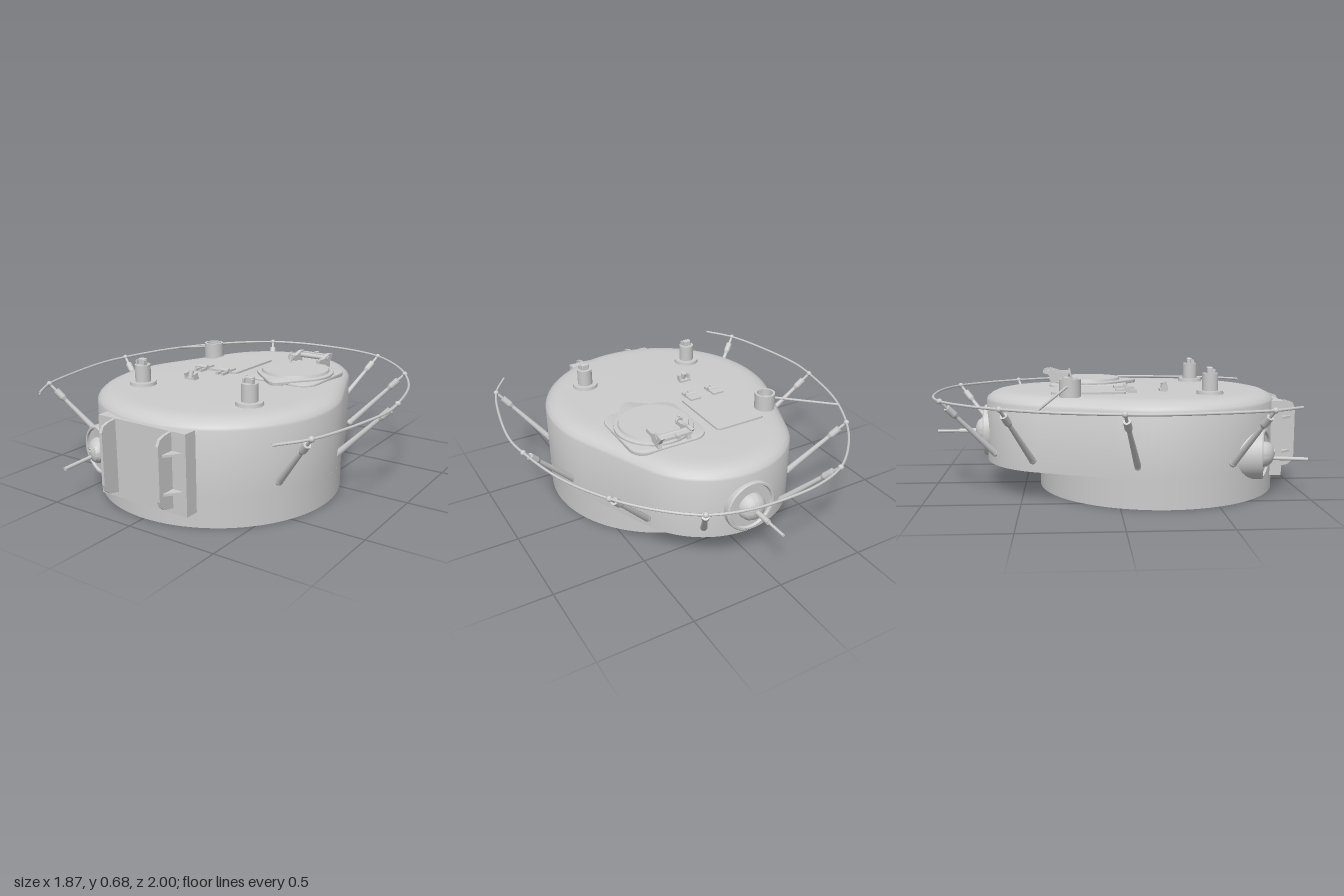
import * as THREE from 'three';
import { toCreasedNormals } from 'three/addons/utils/BufferGeometryUtils.js';
import { RoundedBoxGeometry } from 'three/addons/geometries/RoundedBoxGeometry.js';

const mat = new THREE.MeshStandardMaterial({ color: 0xcccccc, side: THREE.DoubleSide });
const V = (x, y, z) => new THREE.Vector3(x, y, z);

function add(parent, name, geo, x = 0, y = 0, z = 0) {
  const m = new THREE.Mesh(geo, mat);
  m.name = name;
  m.position.set(x, y, z);
  parent.add(m);
  return m;
}
const box = (p, name, w, h, d, x, y, z) => add(p, name, new THREE.BoxGeometry(w, h, d), x, y, z);
// upright cylinder standing on y0
const post = (p, name, r, y0, h, x, z, r2 = r) =>
  add(p, name, new THREE.CylinderGeometry(r2, r, h, 32), x, y0 + h / 2, z);

// round bar between two points
function rod(p, name, a, b, r1, r2 = r1) {
  const dir = b.clone().sub(a);
  const m = add(p, name, new THREE.CylinderGeometry(r2, r1, dir.length(), 12));
  m.position.copy(a).lerp(b, 0.5);
  m.quaternion.setFromUnitVectors(V(0, 1, 0), dir.normalize());
  return m;
}

// flat plate from a plan outline given in x, -z
function slab(p, name, shape, y, h, bevel = 0) {
  const g = new THREE.ExtrudeGeometry(shape, { depth: h - bevel, curveSegments: 24,
    bevelEnabled: bevel > 0, bevelSize: bevel, bevelThickness: bevel, bevelOffset: -bevel, bevelSegments: 2 });
  g.rotateX(-Math.PI / 2);
  return add(p, name, toCreasedNormals(g, 0.6), 0, y, 0);
}

function roundedRect(x0, z0, x1, z1, r) {
  const s = new THREE.Shape();
  s.absarc(x1 - r, -z1 + r, r, -Math.PI / 2, 0);
  s.absarc(x1 - r, -z0 - r, r, 0, Math.PI / 2);
  s.absarc(x0 + r, -z0 - r, r, Math.PI / 2, Math.PI);
  s.absarc(x0 + r, -z1 + r, r, Math.PI, Math.PI * 1.5);
  return s;
}

// egg outline: big front circle and smaller rear circle joined by tangents
function eggOutline(inset, n = 48) {
  const R = 0.655, r = 0.47, c = 0.24, a = Math.asin((R - r) / (2 * c));
  const pts = [];
  const arc = (rad, zc, t0, t1) => {
    for (let i = 0; i <= n; i++) {
      const t = t0 + (t1 - t0) * i / n;
      pts.push([rad * Math.sin(t), zc + rad * Math.cos(t)]);
    }
  };
  arc(R - inset, c, -Math.PI / 2 - a, Math.PI / 2 + a);
  arc(r - inset, -c, Math.PI / 2 + a, Math.PI * 1.5 - a);
  return pts;
}

// shell lofted through [height, inset] levels, closed at both ends
function shellGeometry(levels) {
  const pos = [], idx = [];
  let n = 0;
  for (const [y, inset] of levels) {
    const ring = eggOutline(inset);
    n = ring.length;
    for (const [x, z] of ring) pos.push(x, y, z);
  }
  const L = levels.length, lo = n * L, hi = lo + 1;
  pos.push(0, levels[0][0], 0.1, 0, levels[L - 1][0], 0.1);
  for (let i = 0; i < n; i++) {
    const j = (i + 1) % n;
    for (let k = 0; k < L - 1; k++) {
      const a = k * n + i, b = k * n + j;
      idx.push(a, b, b + n, a, b + n, a + n);
    }
    idx.push(lo, j, i, hi, (L - 1) * n + i, (L - 1) * n + j);
  }
  const g = new THREE.BufferGeometry();
  g.setAttribute('position', new THREE.Float32BufferAttribute(pos, 3));
  g.setIndex(idx);
  return toCreasedNormals(g, 0.7);
}

// dished round mount with a ball in the middle, facing +z
function ballMountGeometry(s, depth) {
  const prof = [[0.13, -depth], [0.13, -0.006], [0.124, 0], [0.115, 0], [0.11, -0.012], [0.068, -0.012],
    [0.064, 0.015], [0.05, 0.036], [0.028, 0.048], [0, 0.052]].map(([r, y]) => new THREE.Vector2(r * s, y));
  return new THREE.LatheGeometry(prof, 48).rotateX(Math.PI / 2);
}

export function createModel() {
  const root = new THREE.Group();
  root.name = 'turret';
  const group = (name) => {
    const g = new THREE.Group();
    g.name = name;
    root.add(g);
    return g;
  };

  // body
  add(root, 'turretRing', new THREE.CylinderGeometry(0.655, 0.655, 0.15, 96), 0, 0.075, 0.24);
  add(root, 'turretShell', shellGeometry(
    [[0.15, 0], [0.487, 0], [0.5, 0.006], [0.518, 0.026], [0.532, 0.055], [0.539, 0.09], [0.541, 0.14]]));

  // front gun plate with two bracket fins and gussets
  const front = group('gunPlate');
  box(front, 'plate', 0.54, 0.41, 0.12, 0.01, 0.285, 0.845);
  const fin = new THREE.Shape([[0.89, 0.105], [0.965, 0.12], [0.99, 0.14], [1.0, 0.17], [1.0, 0.44],
    [0.985, 0.47], [0.95, 0.482], [0.89, 0.49]].map(([z, y]) => new THREE.Vector2(-z, y)));
  for (const [x, side] of [[-0.157, -1], [0.19, 1]]) {
    const g = new THREE.ExtrudeGeometry(fin, { depth: 0.016, bevelEnabled: false });
    add(front, 'fin', g.rotateY(Math.PI / 2), x - 0.008, 0, 0);
    for (const y of [0.2, 0.39]) {
      const tri = new THREE.Shape([[0, -0.9], [side * 0.075, -0.9], [side * 0.015, -0.975], [0, -0.975]]
        .map(([px, pz]) => new THREE.Vector2(x + px, pz)));
      slab(front, 'gusset', tri, y - 0.006, 0.012);
    }
  }

  // machine gun mount beside the plate, its rim swept along the curved wall
  const bow = group('frontBallMount');
  const g = ballMountGeometry(1, 0.2), p = g.attributes.position;
  for (let i = 0; i < p.count; i++) {
    const x = p.getX(i);
    p.setZ(i, p.getZ(i) + 0.42 * x + 0.9 * x * x);
  }
  g.computeVertexNormals();
  add(bow, 'mount', toCreasedNormals(g, 0.6), -0.42, 0.23, 0.77);
  rod(bow, 'barrel', V(-0.42, 0.21, 0.76), V(-0.42, 0.2, 1), 0.01);
  add(bow, 'sightHole', new THREE.TorusGeometry(0.01, 0.004, 8, 16), -0.42, 0.245, 0.82);

  // rear machine gun
  const rear = group('rearBallMount');
  const rm = add(rear, 'mount', toCreasedNormals(ballMountGeometry(1.1, 0.1), 0.6), 0, 0.305, -0.727);
  rm.rotation.y = Math.PI;
  rod(rear, 'barrelJacket', V(0, 0.3, -0.73), V(0, 0.3, -0.87), 0.014);
  rod(rear, 'barrel', V(0, 0.3, -0.87), V(0, 0.3, -0.99), 0.008);

  // aerial rail and its struts
  const rail = group('aerialRail');
  const half = [[0.72, 0.87], [0.82, 0.71], [0.9, 0.4], [0.93, 0.15], [0.915, 0], [0.84, -0.32],
    [0.71, -0.58], [0.57, -0.76], [0.39, -0.91], [0.2, -0.975]];
  const path = [...half, [0, -0.99], ...half.map(([x, z]) => [-x, z]).reverse()].map(([x, z]) => V(x, 0.517, z));
  add(rail, 'rail', new THREE.TubeGeometry(new THREE.CatmullRomCurve3(path), 140, 0.007, 8));
  const struts = [[0.575, 0.57, 0.82, 0.71], [0.628, 0.085, 0.915, 0], [0.445, -0.44, 0.71, -0.58],
    [0.235, -0.65, 0.39, -0.91]];
  for (const s of [-1, 1]) for (const [x0, z0, x1, z1] of struts) {
    const a = V(s * x0, 0.215, z0), b = V(s * x1, 0.517, z1);
    const at = (t) => a.clone().lerp(b, t);
    add(rail, 'strutFoot', new THREE.SphereGeometry(0.019, 16, 12)).position.copy(a);
    rod(rail, 'strut', a, at(0.75), 0.018, 0.011);
    rod(rail, 'strutSleeve', at(0.7), at(0.75), 0.011, 0.019);
    rod(rail, 'strutSleeve', at(0.75), at(0.88), 0.019);
    rod(rail, 'strutPin', at(0.88), b, 0.008);
    add(rail, 'railClamp', new THREE.SphereGeometry(0.015, 16, 12)).position.copy(b);
  }

  // aerial lead-in: open cup and wire
  const aerial = group('aerialBase');
  const cup = [[0.056, 0], [0.056, 0.092], [0.043, 0.092], [0.043, 0.01], [0, 0.01]]
    .map(([r, y]) => new THREE.Vector2(r, y));
  add(aerial, 'cup', toCreasedNormals(new THREE.LatheGeometry(cup, 32), 0.6), -0.402, 0.537, -0.245);
  rod(aerial, 'leadIn', V(-0.395, 0.605, -0.24), V(-0.8, 0.52, -0.4), 0.007);

  // loader hatch with hinges
  const loader = group('loaderHatch');
  slab(loader, 'lid', roundedRect(-0.333, -0.345, -0.035, 0.05, 0.025), 0.538, 0.014);
  for (const x of [-0.255, -0.105]) {
    box(loader, 'hingeLeaf', 0.065, 0.014, 0.06, x, 0.555, 0.025);
    rod(loader, 'hingePin', V(x - 0.03, 0.559, 0.06), V(x + 0.03, 0.559, 0.06), 0.013);
    for (const s of [-1, 1]) box(loader, 'hingeFoot', 0.016, 0.016, 0.05, x + s * 0.018, 0.548, 0.085);
  }

  // commander hatch: base, pointed ring, lid
  const hatch = group('commanderHatch');
  slab(hatch, 'base', roundedRect(0.02, -0.365, 0.455, 0.085, 0.09), 0.535, 0.018, 0.008);
  const drop = new THREE.Shape();
  drop.absarc(0.24, 0.14, 0.212, -0.85, Math.PI + 0.85);
  drop.lineTo(0.22, -0.125);
  drop.quadraticCurveTo(0.26, -0.165, 0.3, -0.125);
  slab(hatch, 'ring', drop, 0.55, 0.016, 0.006);
  post(hatch, 'lid', 0.192, 0.56, 0.02, 0.24, -0.14, 0.185);
  for (const [x, z0, z1] of [[0.148, -0.39, -0.24], [0.325, -0.4, -0.24]]) {
    // hooked hinge arm
    const arm = new THREE.Shape([[z0, 0.625], [z0 + 0.035, 0.58], [z0 + 0.03, 0.555], [z0 + 0.1, 0.555],
      [z0 + 0.11, 0.59], [z1, 0.592], [z1, 0.612], [z0 + 0.1, 0.612], [z0 + 0.04, 0.63]]
      .map(([z, y]) => new THREE.Vector2(-z, y)));
    const ag = new THREE.ExtrudeGeometry(arm, { depth: 0.022, bevelEnabled: false }).rotateY(Math.PI / 2);
    add(hatch, 'hingeArm', ag, x - 0.011, 0, 0);
  }
  rod(hatch, 'hingeBar', V(0.14, 0.606, -0.345), V(0.34, 0.606, -0.345), 0.014);
  box(hatch, 'hingeBlock', 0.17, 0.014, 0.03, 0.236, 0.612, -0.378);
  box(hatch, 'springBox', 0.02, 0.02, 0.03, 0.236, 0.615, -0.39);
  add(hatch, 'handle', new THREE.TorusGeometry(0.016, 0.006, 8, 16), 0.148, 0.61, -0.25);
  rod(hatch, 'latch', V(0.148, 0.57, -0.235), V(0.148, 0.64, -0.25), 0.006);

  // periscopes
  for (const x of [-0.332, 0.352]) {
    const per = group('periscope');
    post(per, 'collar', 0.072, 0.537, 0.022, x, 0.49, 0.069);
    post(per, 'tube', 0.042, 0.55, 0.1, x, 0.49);
    add(per, 'head', new RoundedBoxGeometry(0.042, 0.04, 0.03, 3, 0.006), x, 0.662, 0.486);
    for (const s of [-1, 1]) box(per, 'ear', 0.01, 0.03, 0.022, x + s * 0.024, 0.658, 0.5);
  }

  // sighting vane
  const vane = group('sightVane');
  box(vane, 'foot', 0.07, 0.012, 0.04, -0.183, 0.546, 0.26);
  for (const s of [-1, 1]) {
    const ear = box(vane, 'ear', 0.012, 0.03, 0.032, -0.183 + s * 0.03, 0.562, 0.265);
    ear.rotation.x = 0.2;
  }
  rod(vane, 'blade', V(-0.183, 0.545, 0.275), V(-0.183, 0.588, 0.262), 0.014);

  return root;
}
